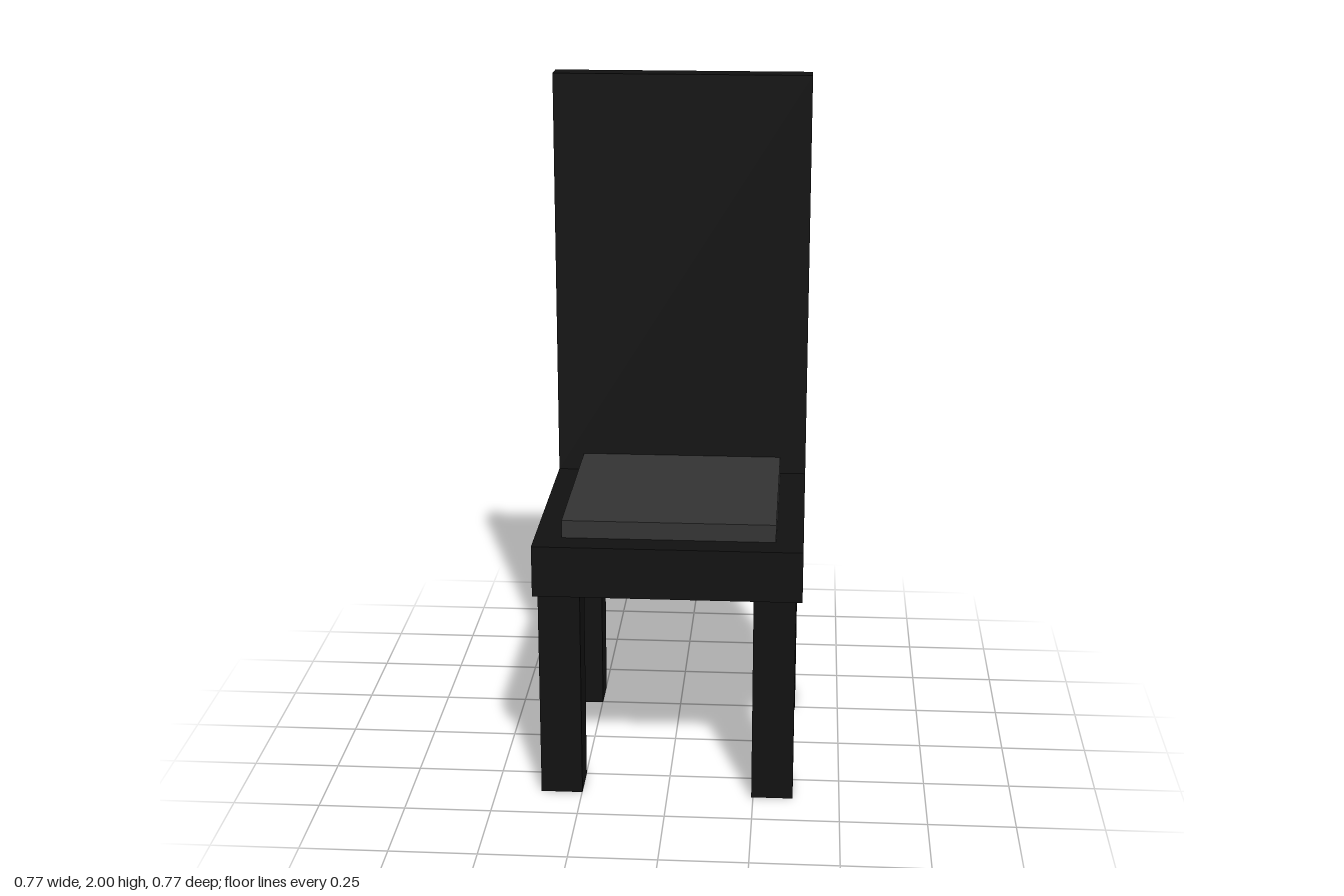
import * as THREE from 'three';

export function createModel() {
  const chair = new THREE.Group();
  chair.name = 'chair';
  const frame = new THREE.MeshStandardMaterial({ color: 0x111111 });
  const fabric = new THREE.MeshStandardMaterial({ color: 0x333333 });

  // Box standing on height y
  function addBox(name, [w, h, d], [x, y, z], material) {
    const mesh = new THREE.Mesh(new THREE.BoxGeometry(w, h, d), material);
    mesh.name = name;
    mesh.position.set(x, y + h / 2, z);
    chair.add(mesh);
  }

  // Seat slab, cushion and tall backrest
  addBox('seat', [0.766, 0.15, 0.766], [0, 0.62, 0], frame);
  addBox('cushion', [0.61, 0.052, 0.61], [0, 0.77, 0], fabric);
  addBox('backrest', [0.766, 1.23, 0.076], [0, 0.77, -0.338], frame);

  // Four square legs
  for (const [sideName, x] of [['Left', 0.305], ['Right', -0.309]]) {
    for (const [endName, z] of [['front', 0.309], ['back', -0.305]]) {
      addBox(`${endName}${sideName}Leg`, [0.12, 0.62, 0.12], [x, 0, z], frame);
    }
  }
  return chair;
}
